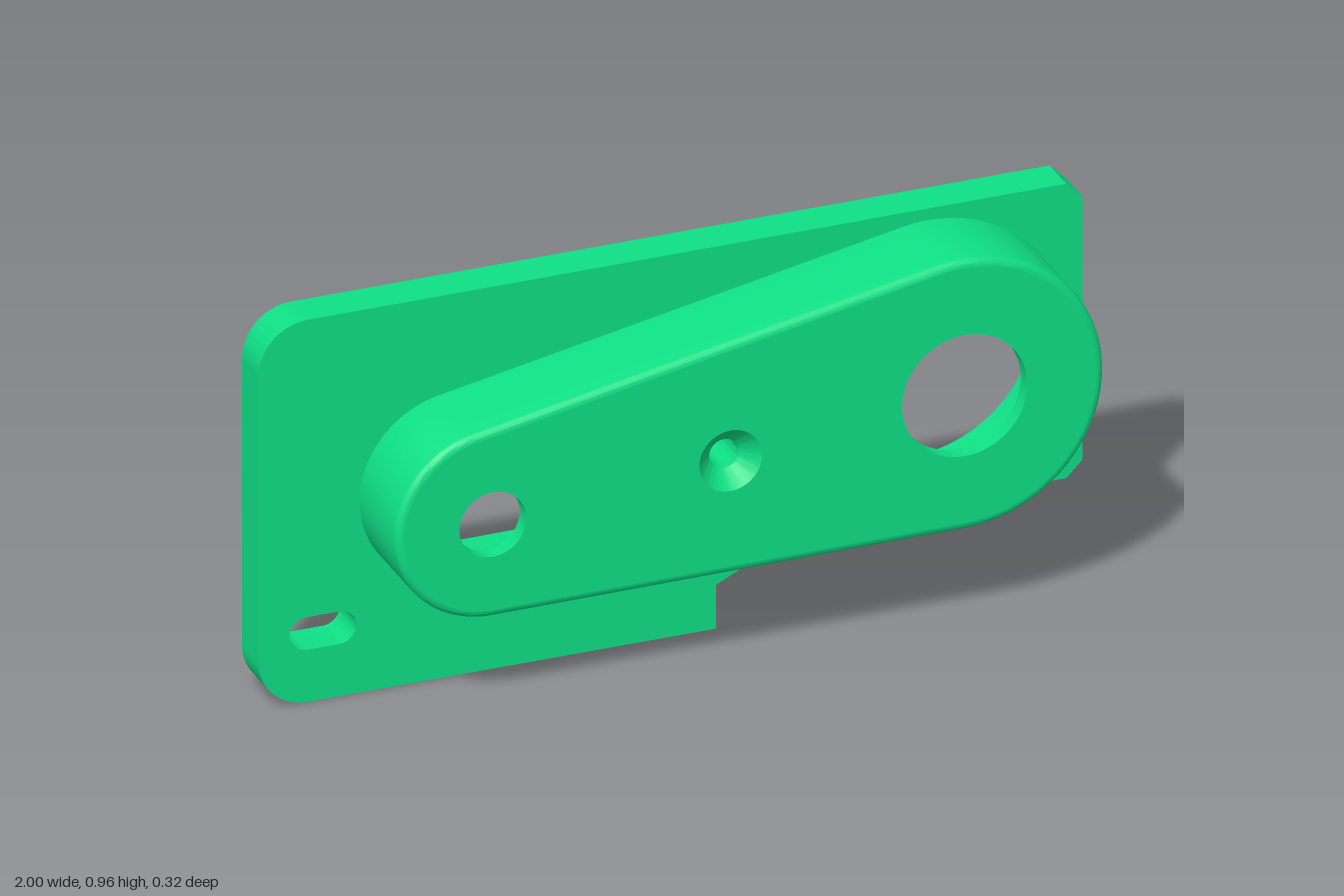
import * as THREE from 'three';
import { toCreasedNormals } from 'three/addons/utils/BufferGeometryUtils.js';

const BACK = -0.16, PLATE = -0.06, FLOOR = 0.12, FRONT = 0.16;
const WALL = 0.04, FILLET = 0.02, CREASE = 0.5;
const small = { x: -0.52, y: 0.48, r: 0.235, hole: 0.081 };
const large = { x: 0.625, y: 0.591, r: 0.34, hole: 0.152 };
const boss = { x: 0.057, y: 0.533, r: 0.09, bore: 0.036, sink: 0.076 };

// Two unequal circles joined by their tangents, shrunk by inset, counter-clockwise
function outline(inset, n = 40) {
  const dx = large.x - small.x, dy = large.y - small.y;
  const a = Math.atan2(dy, dx);
  const b = Math.acos((small.r - large.r) / Math.hypot(dx, dy));
  const pts = [];
  const arc = (c, from, to) => {
    for (let i = 0; i <= n; i++) {
      const t = from + (to - from) * i / n;
      pts.push(new THREE.Vector2(c.x + (c.r - inset) * Math.cos(t), c.y + (c.r - inset) * Math.sin(t)));
    }
  };
  arc(large, a - b, a + b);
  arc(small, a + b, a + 2 * Math.PI - b);
  return pts;
}

// Skin through outlines given as [inset, z]; rising z faces out, falling z faces in
function loft(levels) {
  const pos = [], idx = [];
  let n = 0;
  for (const [inset, z] of levels) {
    const ring = outline(inset);
    n = ring.length;
    ring.forEach(p => pos.push(p.x, p.y, z));
  }
  for (let k = 0; k < levels.length - 1; k++) {
    for (let i = 0; i < n; i++) {
      const j = (i + 1) % n, a = k * n + i, b = k * n + j;
      idx.push(a, b, b + n, a, b + n, a + n);
    }
  }
  const g = new THREE.BufferGeometry();
  g.setAttribute('position', new THREE.Float32BufferAttribute(pos, 3));
  g.setIndex(idx);
  return toCreasedNormals(g, CREASE);
}

const circle = (c, r) => new THREE.Path().absarc(c.x, c.y, r, 0, Math.PI * 2, true);

// Housing face with its three openings
function faceShape(inset, bossRadius) {
  const s = new THREE.Shape(outline(inset));
  s.holes.push(circle(small, small.hole), circle(large, large.hole), circle(boss, bossRadius));
  return new THREE.ShapeGeometry(s, 32);
}

// Surface turned about the z axis from [radius, z] pairs
function turned(profile, c) {
  const g = new THREE.LatheGeometry(profile.map(p => new THREE.Vector2(p[0], p[1])), 64);
  g.rotateX(Math.PI / 2).translate(c.x, c.y, 0);
  return toCreasedNormals(g, CREASE);
}

export function createModel() {
  const model = new THREE.Group();
  const material = new THREE.MeshStandardMaterial({ color: 0x0fdf85 });
  const add = (name, geometry, parent = model) => {
    const m = new THREE.Mesh(geometry, material);
    m.name = name;
    parent.add(m);
    return m;
  };

  // Mounting plate: rounded left corners, chamfered right corners, stepped lower edge
  const R = 0.12, C = 0.04, H = 0.96;
  const s = new THREE.Shape();
  s.moveTo(-1 + R, 0);
  s.lineTo(0.11, 0);
  s.lineTo(0.11, 0.11);
  s.lineTo(0.34, 0.22);
  s.lineTo(1 - C, 0.22);
  s.lineTo(1, 0.22 + C);
  s.lineTo(1, H - C);
  s.lineTo(1 - C, H);
  s.lineTo(-1 + R, H);
  s.absarc(-1 + R, H - R, R, Math.PI / 2, Math.PI, false);
  s.lineTo(-1, R);
  s.absarc(-1 + R, R, R, Math.PI, Math.PI * 1.5, false);
  s.holes.push(new THREE.Path(outline(WALL).reverse()));
  // Slot in the lower corner
  const slot = new THREE.Path();
  slot.absarc(-0.804, 0.172, 0.041, Math.PI / 2, -Math.PI / 2, true);
  slot.absarc(-0.884, 0.172, 0.041, -Math.PI / 2, -Math.PI * 1.5, true);
  slot.closePath();
  s.holes.push(slot);
  const plate = new THREE.ExtrudeGeometry(s, { depth: PLATE - BACK, bevelEnabled: false, curveSegments: 20 });
  plate.translate(0, 0, BACK);
  add('mountingPlate', toCreasedNormals(plate, CREASE));

  // Hollow housing with a rounded front edge
  const housing = new THREE.Group();
  housing.name = 'housing';
  model.add(housing);
  const levels = [[0, PLATE]];
  for (let i = 0; i <= 6; i++) {
    const t = i / 6 * Math.PI / 2;
    levels.push([FILLET * (1 - Math.cos(t)), FRONT - FILLET + FILLET * Math.sin(t)]);
  }
  add('housingOuterWall', loft(levels), housing);
  add('housingInnerWall', loft([[WALL, FLOOR], [WALL, PLATE]]), housing);
  add('housingFrontFace', faceShape(FILLET, boss.sink).translate(0, 0, FRONT), housing);

  // Cavity floor, turned to face the back
  const floor = faceShape(WALL, boss.r).translate(0, 0, FLOOR);
  const index = floor.index.array;
  for (let i = 0; i < index.length; i += 3) [index[i], index[i + 1]] = [index[i + 1], index[i]];
  floor.computeVertexNormals();
  add('cavityFloor', floor, housing);

  // Rims of the two shaft holes
  add('smallHoleRim', turned([[small.hole, FRONT], [small.hole, FLOOR]], small), housing);
  add('largeHoleRim', turned([[large.hole, FRONT], [large.hole, FLOOR]], large), housing);

  // Screw boss: countersink, bore, end face and outside
  add('screwBoss', turned([
    [boss.sink, FRONT], [boss.bore, FLOOR], [boss.bore, BACK], [boss.r, BACK], [boss.r, FLOOR],
  ], boss), housing);

  return model;
}
